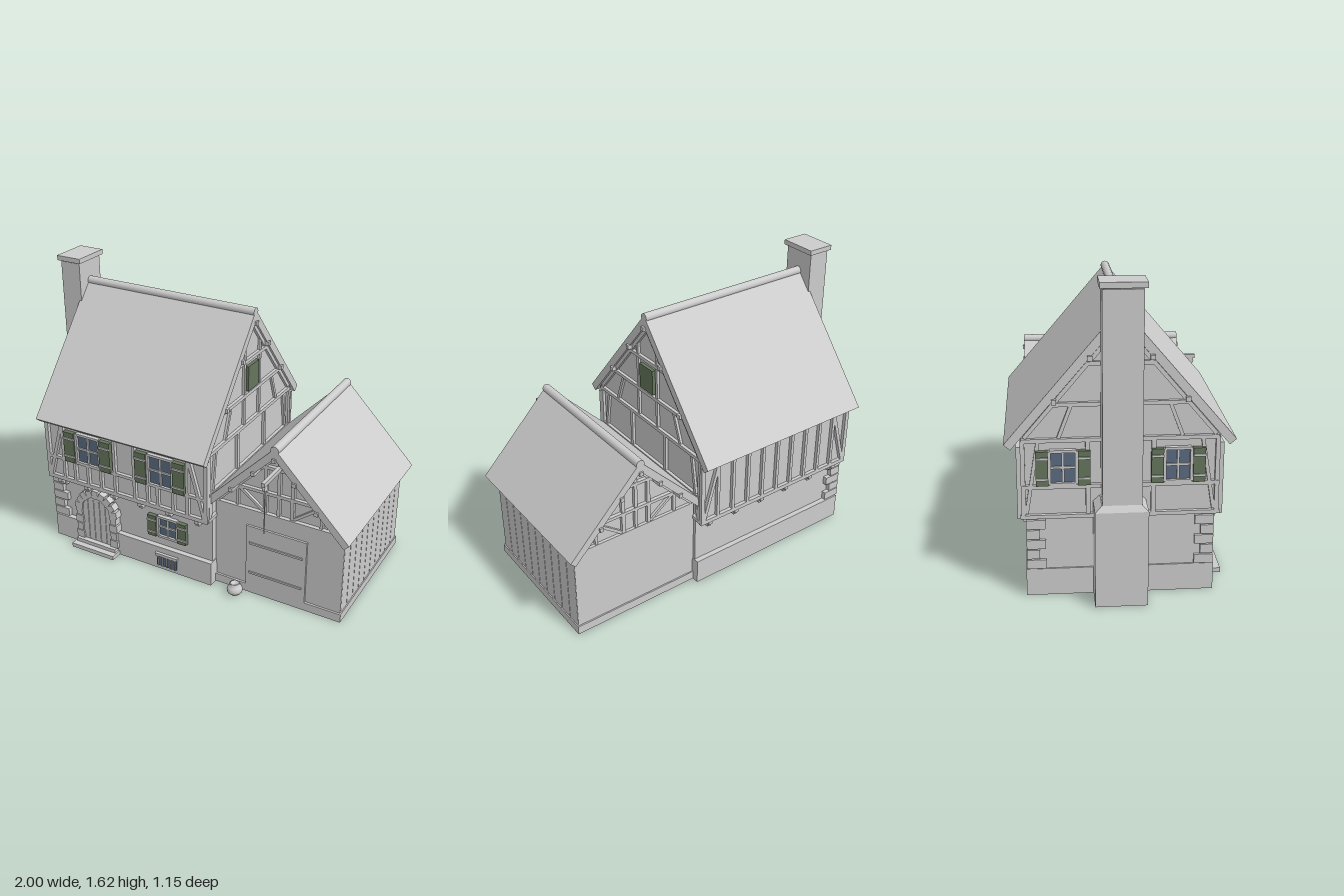
import * as THREE from 'three';

const mat = (name, color, side = THREE.FrontSide) => {
  const m = new THREE.MeshStandardMaterial({ color, side });
  m.name = name;
  return m;
};

export function createModel() {
  const model = new THREE.Group();
  model.name = 'farmhouse';
  const grey = mat('plaster grey', 0xcccccc);
  const green = mat('shutter green', 0x65755c);
  const blue = mat('glass blue', 0x5b6b80);
  const ZC = -0.01; // depth centre of the house

  const add = (parent, name, geo, m = grey) => {
    const mesh = new THREE.Mesh(geo, m);
    mesh.name = name;
    parent.add(mesh);
    return mesh;
  };
  // box given by its limits on each axis
  const box = (p, name, x0, x1, y0, y1, z0, z1, m = grey) => {
    const b = add(p, name, new THREE.BoxGeometry(x1 - x0, y1 - y0, z1 - z0), m);
    b.position.set((x0 + x1) / 2, (y0 + y1) / 2, (z0 + z1) / 2);
    return b;
  };
  // timber lying on a wall, from (u0, v0) to (u1, v1)
  const bar = (p, u0, v0, u1, v1, w = 0.02, d = 0.02) => {
    const b = add(p, 'timber', new THREE.BoxGeometry(Math.hypot(u1 - u0, v1 - v0), w, d));
    b.position.set((u0 + u1) / 2, (v0 + v1) / 2, d / 2);
    b.rotation.z = Math.atan2(v1 - v0, u1 - u0);
    return b;
  };
  // group whose local z points out of a wall
  const wallGroup = (name, x, z, turn) => {
    const g = new THREE.Group();
    g.name = name;
    g.position.set(x, 0, z);
    g.rotation.y = turn;
    model.add(g);
    return g;
  };
  // prism from an outline, extruded along local z
  const prism = (p, name, pts, z0, z1, m = grey) => {
    const s = new THREE.Shape(pts.map(([x, y]) => new THREE.Vector2(x, y)));
    const e = add(p, name, new THREE.ExtrudeGeometry(s, { depth: z1 - z0, bevelEnabled: false }), m);
    e.position.z = z0;
    return e;
  };
  const gableRoof = (p, name, W, top, slope, t, z0, z1) => {
    const a = Math.atan(slope), ix = W - t * Math.sin(a), ey = top - slope * W, iy = ey - t * Math.cos(a);
    prism(p, name, [[0, top], [-W, ey], [-ix, iy], [0, top - t / Math.cos(a)], [ix, iy], [W, ey]], z0, z1);
    const ridge = add(p, 'ridgeCap', new THREE.CylinderGeometry(0.024, 0.024, z1 - z0, 16));
    ridge.rotation.x = Math.PI / 2;
    ridge.position.set(0, top - 0.013, (z0 + z1) / 2);
  };
  const window_ = (p, u, v, w, h, sw) => {
    const g = new THREE.Group();
    g.name = 'window';
    g.position.set(u, v, 0);
    p.add(g);
    const x = w / 2, y = h / 2;
    box(g, 'glass', -x, x, -y, y, 0, 0.008, blue);
    for (const s of [-1, 1]) {
      box(g, 'frameSide', s * x - 0.007, s * x + 0.007, -y, y, 0, 0.022);
      box(g, 'frameRail', -x, x, s * y - 0.007, s * y + 0.007, 0, 0.022);
      const c = s * (x + 0.007 + sw / 2);
      box(g, 'shutter', c - sw / 2, c + sw / 2, -y - 0.004, y + 0.004, 0.005, 0.03, green);
      for (const k of [-0.62, 0.62])
        box(g, 'shutterBatten', c - sw / 2, c + sw / 2, k * y - 0.006, k * y + 0.006, 0.03, 0.036);
    }
    box(g, 'mullion', -0.006, 0.006, -y, y, 0.005, 0.016);
    box(g, 'transom', -x, x, -0.006, 0.006, 0.005, 0.016);
  };

  // house body: plinth, ground floor, overhanging storey with gables
  box(model, 'plinth', -0.858, 0.205, 0, 0.145, -0.48, 0.46);
  box(model, 'groundFloor', -0.85, 0.2, 0.145, 0.43, -0.45, 0.43);
  const along = wallGroup('house', 0, ZC, Math.PI / 2);
  prism(along, 'upperStorey', [[-0.485, 0.42], [0.485, 0.42], [0.485, 0.838], [0, 1.41], [-0.485, 0.838]], -0.85, 0.19);
  gableRoof(along, 'houseRoof', 0.563, 1.48, 1.18, 0.043, -0.868, 0.217);
  const purlins = [[0, 1.405], [0.148, 1.238], [-0.148, 1.238], [0.32, 1.028], [-0.32, 1.028]];
  for (const [u, v] of purlins) box(along, 'purlin', u - 0.012, u + 0.012, v - 0.012, v + 0.012, -0.885, 0.23);

  // timbering on the front and back
  const front = wallGroup('frontTimbers', 0, 0.475, 0);
  const back = wallGroup('backTimbers', -0.65, -0.495, Math.PI);
  for (const g of [front, back]) {
    for (const y of [0.433, 0.785]) bar(g, -0.86, y, 0.205, y, 0.024);
    for (const u of [-0.848, 0.193]) bar(g, u, 0.43, u, 0.79, 0.024);
    bar(g, -0.745, 0.78, -0.84, 0.44);
    bar(g, 0.09, 0.78, 0.185, 0.44);
    for (let i = 0; i < 6; i++) {
      const u = -0.787 + i * 0.183;
      box(g, 'joistEnd', u - 0.013, u + 0.013, 0.395, 0.422, -0.06, 0.01);
      box(g, 'joistBracket', u - 0.011, u + 0.011, 0.375, 0.395, -0.06, -0.005);
    }
  }
  bar(front, -0.86, 0.565, 0.2, 0.565, 0.018);
  for (const u of [-0.74, -0.39, -0.26, 0.08]) bar(front, u, 0.43, u, 0.79, 0.018);
  for (const u of [-0.665, -0.575, -0.485, -0.175, -0.11, -0.01]) bar(front, u, 0.43, u, 0.565, 0.018);
  for (let i = 1; i < 10; i++) bar(back, -0.848 + i * 0.104, 0.43, -0.848 + i * 0.104, 0.79, 0.018);
  for (const u of [-0.567, -0.09]) window_(front, u, 0.658, 0.155, 0.18, 0.072);

  // timbering on both gable ends
  const right = wallGroup('rightTimbers', 0.19, ZC, Math.PI / 2);
  const left = wallGroup('leftTimbers', -0.85, ZC, -Math.PI / 2);
  for (const g of [right, left]) {
    for (const [y, w] of [[0.433, 0.49], [0.59, 0.48], [0.83, 0.48], [1.01, 0.335], [1.21, 0.165]]) bar(g, -w, y, w, y, 0.02, 0.018);
    for (const s of [-1, 1]) {
      bar(g, s * 0.01, 1.385, s * 0.465, 0.845, 0.02, 0.016);
      bar(g, s * 0.088, 0.84, s * 0.088, 1.285, 0.018, 0.014);
      for (const u of [0.474, 0.16]) bar(g, s * u, 0.43, s * u, 0.83, 0.022, 0.016);
      bar(g, s * 0.46, 0.45, s * 0.4, 0.82, 0.018, 0.014);
      bar(g, s * 0.3, 0.84, s * 0.24, 1.0, 0.018, 0.014);
    }
  }
  for (const u of [-0.28, 0.28]) window_(left, u, 0.69, 0.13, 0.17, 0.06);
  box(right, 'gableHatch', -0.06, 0.06, 1.028, 1.173, 0, 0.02, green);

  // corner stones on the left corners
  for (const [z0, z1] of [[0.36, 0.455], [-0.475, -0.38]])
    for (let i = 0; i < 5; i++) {
      const k = i % 2 ? 0.03 : 0, y = 0.15 + i * 0.054;
      box(model, 'cornerStone', -0.865, -0.765 - k, y, y + 0.048, z0 + (z0 > 0 ? k : 0), z1 - (z0 > 0 ? 0 : k));
    }

  // arched door with stone surround and steps
  const door = wallGroup('door', -0.553, 0.43, 0);
  const arch = [[-0.1, 0.045], [0.1, 0.045]];
  for (let i = 0; i <= 12; i++) arch.push([0.1 * Math.cos(i * Math.PI / 12), 0.245 + 0.1 * Math.sin(i * Math.PI / 12)]);
  prism(door, 'doorLeaf', arch, 0, 0.036);
  for (const u of [-0.06, -0.02, 0.02, 0.06]) box(door, 'doorStrip', u - 0.003, u + 0.003, 0.05, 0.32, 0.03, 0.04);
  for (const s of [-1, 1])
    for (let i = 0; i < 4; i++) {
      const c = s * 0.118, w = i % 2 ? 0.02 : 0.026, y = 0.047 + i * 0.052;
      box(door, 'jambStone', c - w, c + w, y, y + 0.047, -0.01, 0.046);
    }
  for (let i = 0; i < 9; i++) {
    const a = (i + 0.5) * Math.PI / 9;
    const b = add(door, 'archStone', new THREE.BoxGeometry(i % 2 ? 0.044 : 0.052, 0.039, 0.056));
    b.position.set(0.121 * Math.cos(a), 0.245 + 0.121 * Math.sin(a), 0.018);
    b.rotation.z = a;
  }
  box(door, 'lowerStep', -0.145, 0.145, 0, 0.025, 0, 0.1);
  box(door, 'upperStep', -0.135, 0.135, 0.025, 0.047, 0, 0.065);

  // ground floor window and cellar grate
  const low = wallGroup('groundWindow', -0.08, 0.43, 0);
  window_(low, 0, 0.275, 0.125, 0.125, 0.055);
  const grate = wallGroup('cellarGrate', -0.08, 0.46, 0);
  box(grate, 'grateGlass', -0.065, 0.065, 0.025, 0.09, 0, 0.006, blue);
  box(grate, 'grateLintel', -0.072, 0.072, 0.092, 0.11, 0, 0.016);
  for (let i = 0; i < 5; i++) box(grate, 'grateBar', -0.059 + i * 0.028, -0.053 + i * 0.028, 0.025, 0.095, 0.003, 0.012);

  // chimney with sloping shoulder and cap
  box(model, 'chimneyBase', -1, -0.85, 0, 0.505, -0.145, 0.115);
  const shoulder = box(model, 'chimneyShoulder', -1, -0.85, 0.505, 0.535, -0.145, 0.115);
  const sp = shoulder.geometry.attributes.position;
  for (let i = 0; i < sp.count; i++)
    if (sp.getY(i) > 0) sp.setXYZ(i, Math.max(sp.getX(i), -0.055), sp.getY(i), sp.getZ(i) * 0.74);
  shoulder.geometry.computeVertexNormals();
  box(model, 'chimneyShaft', -0.98, -0.855, 0.5, 1.585, -0.107, 0.085);
  box(model, 'chimneyNeck', -0.97, -0.865, 1.58, 1.595, -0.1, 0.078);
  box(model, 'chimneyCap', -0.995, -0.84, 1.592, 1.62, -0.12, 0.1);

  // barn body, base and roof
  box(model, 'barnBase', 0.2, 0.957, 0, 0.05, -0.44, 0.405);
  const barn = wallGroup('barn', 0.57, 0, 0);
  prism(barn, 'barnBody', [[-0.375, 0.04], [0.375, 0.04], [0.375, 0.521], [0, 0.907], [-0.375, 0.521]], -0.415, 0.37);
  box(barn, 'barnFrontWall', -0.37, 0.38, 0.05, 0.527, 0.36, 0.393);
  box(barn, 'barnBackWall', -0.37, 0.38, 0.05, 0.527, -0.432, -0.41);
  gableRoof(barn, 'barnRoof', 0.427, 0.965, 1.03, 0.04, -0.482, 0.457);
  for (const [u, v] of [[0, 0.898], [0.116, 0.79], [-0.116, 0.79], [0.243, 0.66], [-0.243, 0.66]])
    box(barn, 'barnPurlin', u - 0.011, u + 0.011, v - 0.011, v + 0.011, -0.492, 0.467);

  // barn side planks
  for (let i = 0; i < 10; i++) {
    const z = -0.428 + i * 0.082;
    box(barn, 'sidePlank', 0.37, 0.381, 0.05, 0.512, z, z + 0.078);
  }

  // barn gable trusses, front and back
  for (const [z, turn] of [[0.37, 0], [-0.415, Math.PI]]) {
    const g = wallGroup('barnTruss', 0.57, z, turn);
    bar(g, -0.25, 0.65, 0.25, 0.65, 0.018);
    bar(g, -0.12, 0.805, 0.12, 0.805, 0.018);
    bar(g, 0, 0.53, 0, 0.89, 0.018, 0.018);
    for (const s of [-1, 1]) {
      bar(g, s * 0.008, 0.89, s * 0.355, 0.533, 0.018, 0.018);
      bar(g, s * 0.078, 0.53, s * 0.078, 0.81, 0.02, 0.018);
      bar(g, s * 0.235, 0.645, s * 0.09, 0.535, 0.016, 0.016);
      bar(g, s * 0.243, 0.53, s * 0.243, 0.65, 0.016, 0.016);
    }
  }

  // barn door
  box(barn, 'barnDoor', -0.177, 0.177, 0.045, 0.43, 0.38, 0.405);
  for (const y of [0.135, 0.325]) box(barn, 'doorHinge', -0.157, 0.157, y - 0.006, y + 0.006, 0.4, 0.411);

  // hoist beam, pulley and rope
  box(barn, 'hoistBeam', -0.01, 0.01, 0.805, 0.829, 0.37, 0.577);
  const pulley = add(barn, 'pulley', new THREE.CylinderGeometry(0.02, 0.02, 0.014, 16));
  pulley.rotation.z = Math.PI / 2;
  pulley.position.set(0, 0.79, 0.55);
  const rope = add(barn, 'rope', new THREE.CylinderGeometry(0.003, 0.003, 0.27, 6));
  rope.position.set(0, 0.655, 0.55);

  // round pot beside the barn
  const profile = [[0, 0], [0.025, 0], [0.041, 0.017], [0.044, 0.033], [0.036, 0.05], [0.024, 0.058], [0.028, 0.07], [0.02, 0.07], [0, 0.055]];
  const pot = add(model, 'pot', new THREE.LatheGeometry(profile.map(([x, y]) => new THREE.Vector2(x, y)), 20));
  pot.position.set(0.353, 0, 0.455);

  return model;
}
